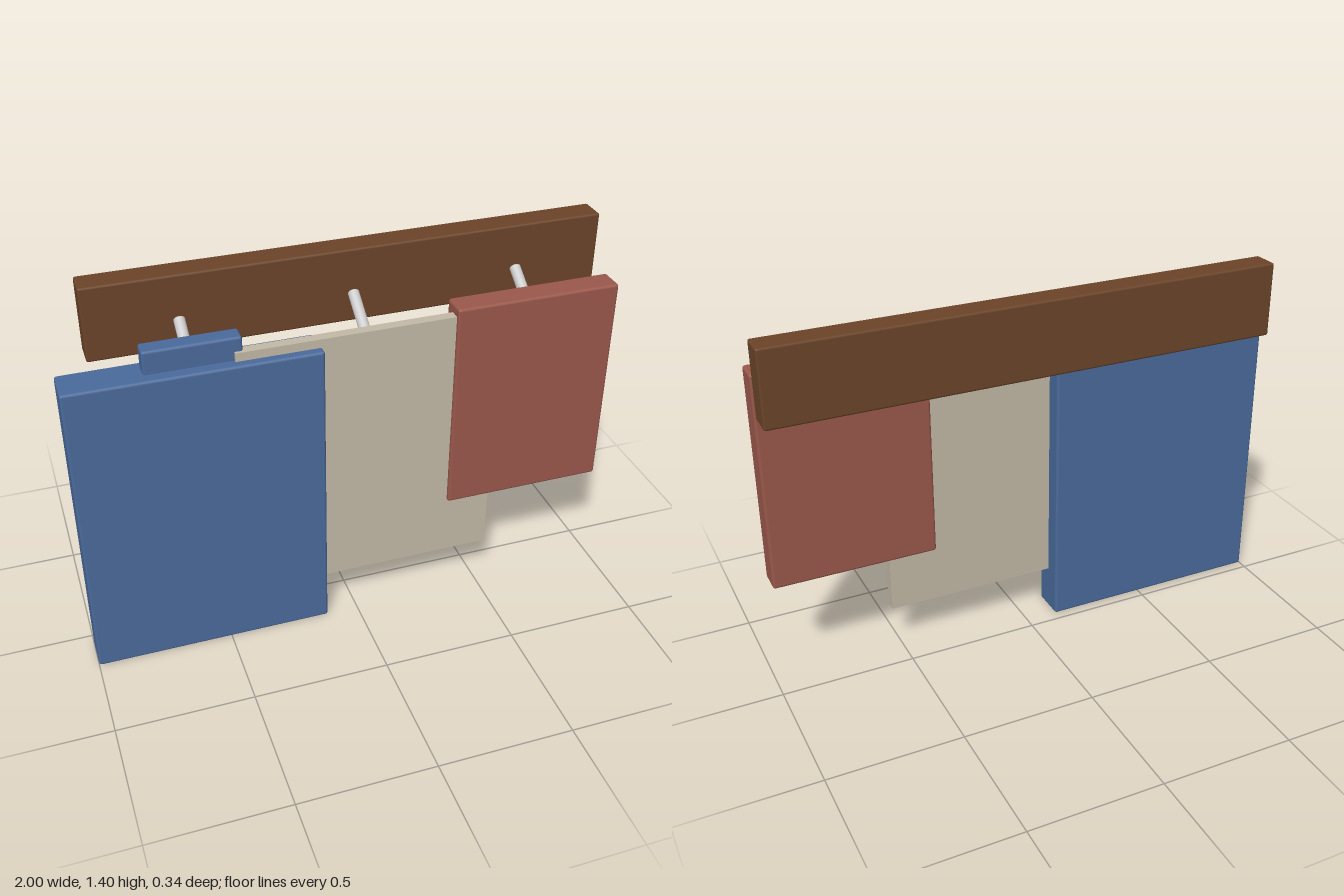
import * as THREE from 'three';
import { RoundedBoxGeometry } from 'three/addons/geometries/RoundedBoxGeometry.js';

const material = (color) => new THREE.MeshStandardMaterial({ color });

// Box given by its extents on each axis, with optionally rounded edges
function slab(name, [x0, x1], [y0, y1], [z0, z1], mat, round = 0) {
  const size = [x1 - x0, y1 - y0, z1 - z0];
  const geometry = round
    ? new RoundedBoxGeometry(...size, 2, round)
    : new THREE.BoxGeometry(...size);
  const mesh = new THREE.Mesh(geometry, mat);
  mesh.name = name;
  mesh.position.set((x0 + x1) / 2, (y0 + y1) / 2, (z0 + z1) / 2);
  return mesh;
}

// Slanted round peg with slightly chamfered ends
function peg(name, x, mat) {
  const start = new THREE.Vector3(x, 1.154, 0.078);
  const end = new THREE.Vector3(x, 1.25, -0.061);
  const h = start.distanceTo(end) / 2, r = 0.02, c = 0.004;
  const profile = [[0, -h], [r - c, -h], [r, -h + c], [r, h - c], [r - c, h], [0, h]]
    .map(([a, b]) => new THREE.Vector2(a, b));
  const mesh = new THREE.Mesh(new THREE.LatheGeometry(profile, 24), mat);
  mesh.name = name;
  mesh.position.copy(start).add(end).multiplyScalar(0.5);
  mesh.quaternion.setFromUnitVectors(
    new THREE.Vector3(0, 1, 0), end.clone().sub(start).normalize());
  return mesh;
}

export function createModel() {
  const group = new THREE.Group();
  group.name = 'wallRackWithHangings';
  const wood = material(0x6b4429);
  const blue = material(0x4a6a9b);
  const cream = material(0xc2b9a6);
  const red = material(0x9a584b);
  const metal = material(0xcccccc);

  // Wall rail and its three pegs
  group.add(slab('rail', [-0.88, 1], [1.13, 1.405], [-0.17, -0.07], wood, 0.008));
  [-0.56, 0.055, 0.67].forEach((x, i) => group.add(peg(`peg${i + 1}`, x, metal)));

  // Large blue coat and its collar
  group.add(slab('coatBody', [-1, -0.12], [0, 1.165], [0.035, 0.17], blue, 0.01));
  group.add(slab('coatCollar', [-0.725, -0.39], [1.12, 1.25], [0.06, 0.127], blue, 0.01));

  // Thin cream cloth in the middle
  group.add(slab('cloth', [-0.42, 0.535], [0.175, 1.197], [0.1, 0.138], cream));

  // Red bag on the last peg
  group.add(slab('bag', [0.365, 0.98], [0.412, 1.23], [0.055, 0.153], red, 0.01));

  return group;
}
